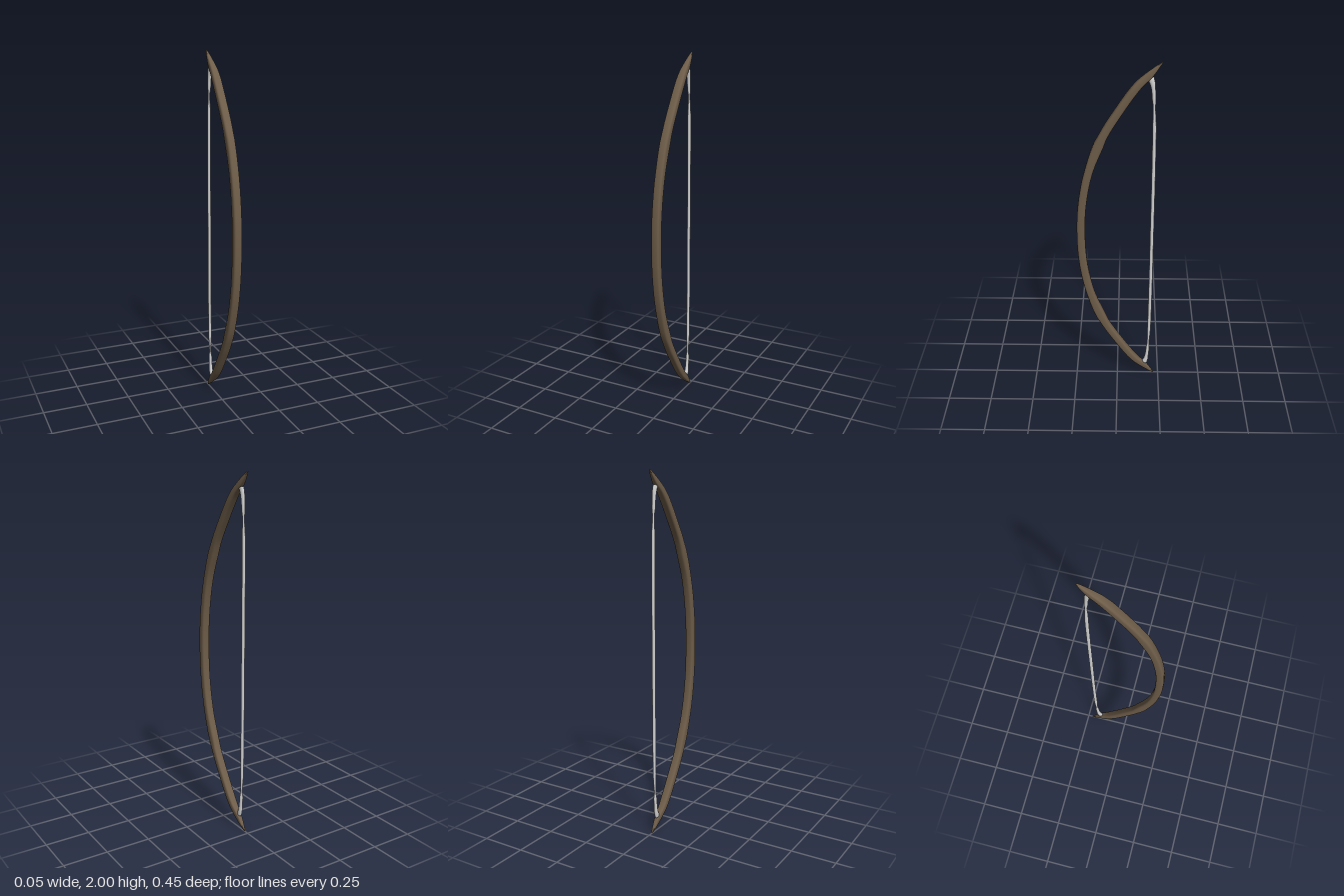
import * as THREE from 'three';

// Sweeps a rounded-rectangle section along a path in the YZ plane.
// Each station is [y, z, halfWidth, halfThickness]; power sets the squareness.
function sweep(stations, steps, sides, power) {
  const path = new THREE.CatmullRomCurve3(stations.map(([y, z]) => new THREE.Vector3(0, y, z)));
  const size = new THREE.CatmullRomCurve3(stations.map(([, , w, t]) => new THREE.Vector3(w, t, 0)));
  const soft = (v) => Math.sign(v) * Math.pow(Math.abs(v), 2 / power);
  const pos = [];
  const index = [];
  for (let i = 0; i <= steps; i++) {
    const p = path.getPoint(i / steps);
    const s = size.getPoint(i / steps);
    const t = path.getTangent(i / steps);
    for (let j = 0; j < sides; j++) {
      const a = (j / sides) * Math.PI * 2;
      const x = soft(Math.cos(a)) * s.x;
      const n = soft(Math.sin(a)) * s.y;
      pos.push(x, p.y - t.z * n, p.z + t.y * n);
      if (i < steps) {
        const k = (j + 1) % sides;
        const q = i * sides;
        index.push(q + j, q + sides + j, q + k, q + k, q + sides + j, q + sides + k);
      }
    }
  }
  // End caps
  for (const end of [0, steps]) {
    const p = path.getPoint(end / steps);
    const c = pos.length / 3;
    pos.push(p.x, p.y, p.z);
    for (let j = 0; j < sides; j++) {
      const a = end * sides + j;
      const b = end * sides + ((j + 1) % sides);
      if (end) index.push(c, b, a);
      else index.push(c, a, b);
    }
  }
  const geo = new THREE.BufferGeometry();
  geo.setAttribute('position', new THREE.Float32BufferAttribute(pos, 3));
  geo.setIndex(index);
  geo.computeVertexNormals();
  return geo;
}

// Mirrors the upper half of a station list about y = 1; the first station is the middle.
function mirrored(upper) {
  const lower = upper.slice(1).reverse().map(([y, z, w, t]) => [2 - y, z, w, t]);
  return [...lower, ...upper];
}

export function createModel() {
  const group = new THREE.Group();
  const wood = new THREE.MeshStandardMaterial({ color: 0x6e5d49, side: THREE.DoubleSide });
  wood.name = 'brown wood';
  const cord = new THREE.MeshStandardMaterial({ color: 0xd2d2d2, side: THREE.DoubleSide });
  cord.name = 'pale cord';

  // Curved stave, tapering to pointed tips
  const stave = mirrored([
    [1.0, 0.202, 0.024, 0.023],
    [1.2, 0.191, 0.024, 0.023],
    [1.4, 0.152, 0.024, 0.023],
    [1.6, 0.076, 0.024, 0.023],
    [1.75, -0.013, 0.024, 0.022],
    [1.84, -0.073, 0.0235, 0.0215],
    [1.89, -0.113, 0.021, 0.02],
    [1.93, -0.156, 0.0165, 0.018],
    [1.965, -0.19, 0.011, 0.011],
    [1.988, -0.212, 0.006, 0.005],
    [1.997, -0.222, 0.002, 0.002],
  ]);
  const bow = new THREE.Mesh(sweep(stave, 80, 20, 3.5), wood);
  bow.name = 'stave';
  group.add(bow);

  // Taut string, flaring where it meets the stave
  const string = mirrored([
    [1.0, -0.191, 0.009, 0.01],
    [1.35, -0.191, 0.009, 0.01],
    [1.65, -0.189, 0.009, 0.01],
    [1.8, -0.184, 0.009, 0.01],
    [1.86, -0.179, 0.01, 0.011],
    [1.89, -0.174, 0.011, 0.014],
    [1.915, -0.165, 0.011, 0.017],
  ]);
  const bowString = new THREE.Mesh(sweep(string, 48, 12, 2), cord);
  bowString.name = 'string';
  group.add(bowString);

  return group;
}
